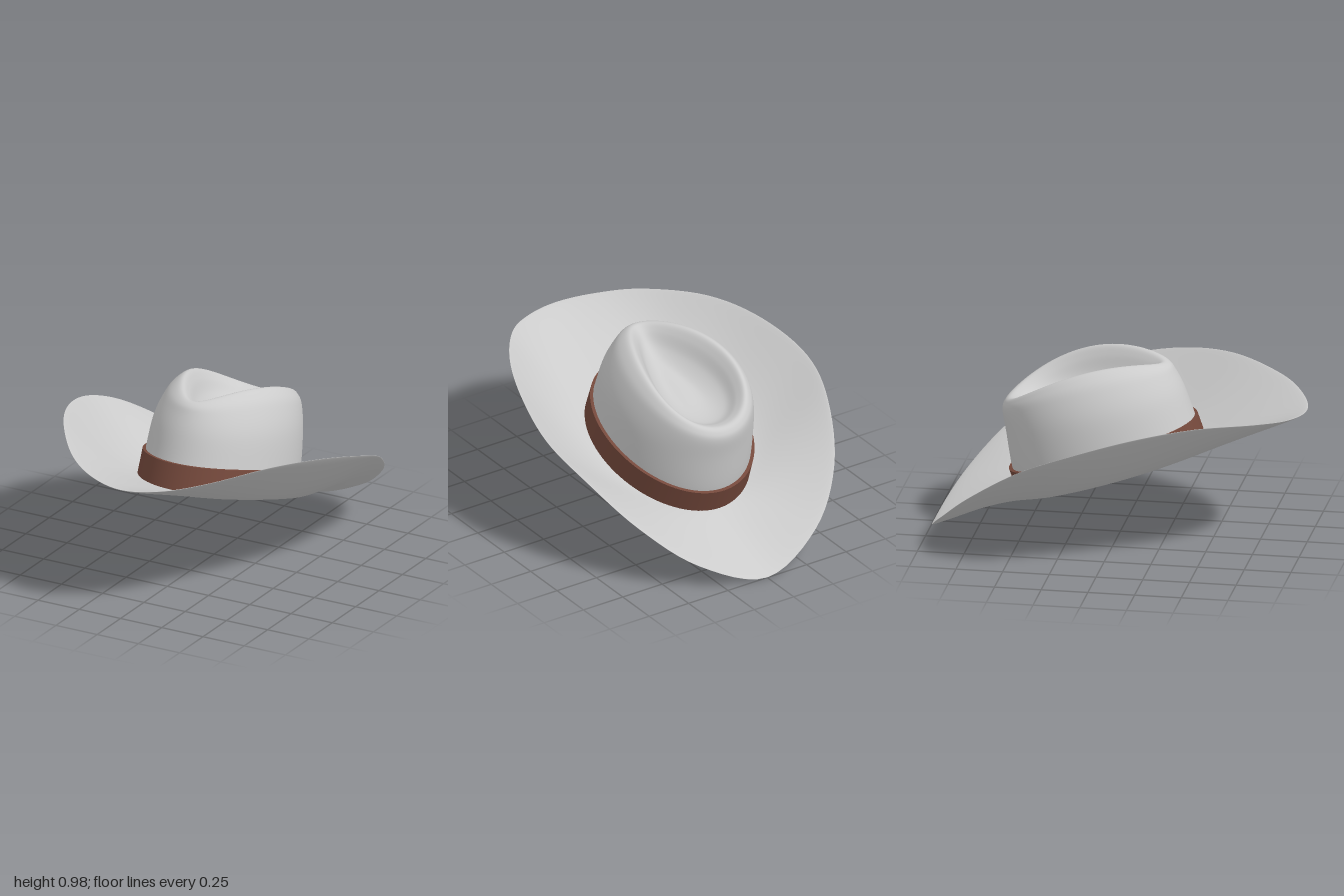
import * as THREE from 'three';
import { toCreasedNormals } from 'three/addons/utils/BufferGeometryUtils.js';

const SEG = 108;

// Joins closed rings of points (counted from the front round by +x) into a surface.
function loft(rows, pointAt) {
  const pos = [], idx = [];
  for (let i = 0; i < rows; i++) {
    for (let j = 0; j < SEG; j++) {
      pos.push(...pointAt(i, j / SEG).toArray());
      if (i === rows - 1) continue;
      const a = i * SEG + j, b = i * SEG + (j + 1) % SEG;
      idx.push(a, b, b + SEG, a, b + SEG, a + SEG);
    }
  }
  const geo = new THREE.BufferGeometry();
  geo.setAttribute('position', new THREE.Float32BufferAttribute(pos, 3));
  geo.setIndex(idx);
  geo.computeVertexNormals();
  return geo;
}

// Tilted egg ring: front z and y, back z and y, half width, taper to the front, lift of the sides.
function ringPoint([zf, yf, zb, yb, w, taper, lift], u) {
  const s = Math.cos(u * Math.PI * 2), n = Math.sin(u * Math.PI * 2);
  const f = (1 + s) / 2;
  return new THREE.Vector3(w * n * (1 - taper * s), yb + (yf - yb) * f + lift * n * n, zb + (zf - zb) * f);
}

// Smooth blend through a list of rings, t from 0 to 1.
function blendRings(rings, t) {
  const k = Math.min(Math.floor(t * (rings.length - 1)), rings.length - 2);
  const f = t * (rings.length - 1) - k;
  const [a, b, c, d] = [k - 1, k, k + 1, k + 2].map(q => rings[Math.max(0, Math.min(rings.length - 1, q))]);
  return b.map((v, q) => v + 0.5 * f * (c[q] - a[q]
    + f * (2 * a[q] - 5 * v + 4 * c[q] - d[q] + f * (3 * (v - c[q]) + d[q] - a[q]))));
}

function makeCrown() {
  const rings = [
    [0.44, 0.54, -0.52, 0.21, 0.385, 0.03, 0.03],
    [0.39, 0.68, -0.572, 0.34, 0.382, 0.03, 0.03],
    [0.34, 0.82, -0.608, 0.55, 0.365, 0.06, 0.04],
    [0.295, 0.91, -0.627, 0.66, 0.325, 0.13, 0.07],
    [0.268, 0.95, -0.617, 0.705, 0.285, 0.22, 0.09],
    [0.23, 0.965, -0.59, 0.727, 0.24, 0.34, 0.1],    // ridge round the dent
    [0.19, 0.94, -0.545, 0.722, 0.2, 0.4, 0.07],
    [0.12, 0.875, -0.47, 0.7, 0.155, 0.4, 0.03],
    [0.0, 0.81, -0.35, 0.71, 0.08, 0.3, 0.0],
    [-0.17, 0.76, -0.17, 0.76, 0, 0, 0],
  ];
  const rows = 64;
  return loft(rows, (i, u) => ringPoint(blendRings(rings, i / (rows - 1)), u));
}

function makeBand() {
  const outerLow = [0.46, 0.525, -0.54, 0.2, 0.407, 0.03, 0.03];
  const outerTop = [0.41, 0.67, -0.592, 0.34, 0.4, 0.03, 0.03];
  const innerTop = [0.37, 0.665, -0.55, 0.35, 0.362, 0.03, 0.03];
  const innerLow = [0.42, 0.52, -0.5, 0.21, 0.366, 0.03, 0.03];
  const profile = [outerLow, outerTop, innerTop, innerLow, outerLow];
  return toCreasedNormals(loft(5, (i, u) => ringPoint(profile[i], u)), 0.7);
}

function makeBrim() {
  const hole = [0.455, 0.527, -0.535, 0.203, 0.402, 0.03, 0.03];
  // Half of the rim, front to back, then mirrored
  const half = [[0, 0.735, 1], [0.22, 0.75, 0.94], [0.42, 0.782, 0.79], [0.63, 0.81, 0.5], [0.765, 0.775, 0.19],
    [0.83, 0.685, -0.14], [0.775, 0.56, -0.42], [0.62, 0.35, -0.71], [0.37, 0.14, -0.91], [0, 0, -1]]
    .map(p => new THREE.Vector3(...p));
  const mirrored = half.slice(1, -1).reverse().map(p => new THREE.Vector3(-p.x, p.y, p.z));
  const rim = new THREE.CatmullRomCurve3([...half, ...mirrored], true, 'catmullrom', 0.5);
  // Underside outwards, round the rim, top side back in
  const n = 24;
  return loft(2 * n + 1, (i, u) => {
    const t = Math.sin((1 - Math.abs(i - n) / n) * Math.PI / 2);
    const inner = ringPoint(hole, u), outer = rim.getPoint(u);
    const p = inner.clone().lerp(outer, t);
    const curl = 1 + 0.4 * Math.sin(u * Math.PI * 2) ** 2;
    p.y = inner.y + (outer.y - inner.y) * Math.pow(t, curl);
    p.y += Math.sign(i - n) * 0.009 * Math.sqrt(Math.max(0, 1 - t ** 8)) + 0.004;
    return p;
  });
}

export function createModel() {
  const felt = new THREE.MeshStandardMaterial({ color: 0xcccccc, side: THREE.DoubleSide });
  const leather = new THREE.MeshStandardMaterial({ color: 0x75493c });
  const hat = new THREE.Group();
  hat.name = 'hat';
  const add = (name, geo, mat) => {
    const mesh = new THREE.Mesh(geo, mat);
    mesh.name = name;
    hat.add(mesh);
  };
  add('crown', makeCrown(), felt);
  add('band', makeBand(), leather);
  add('brim', makeBrim(), felt);
  return hat;
}
